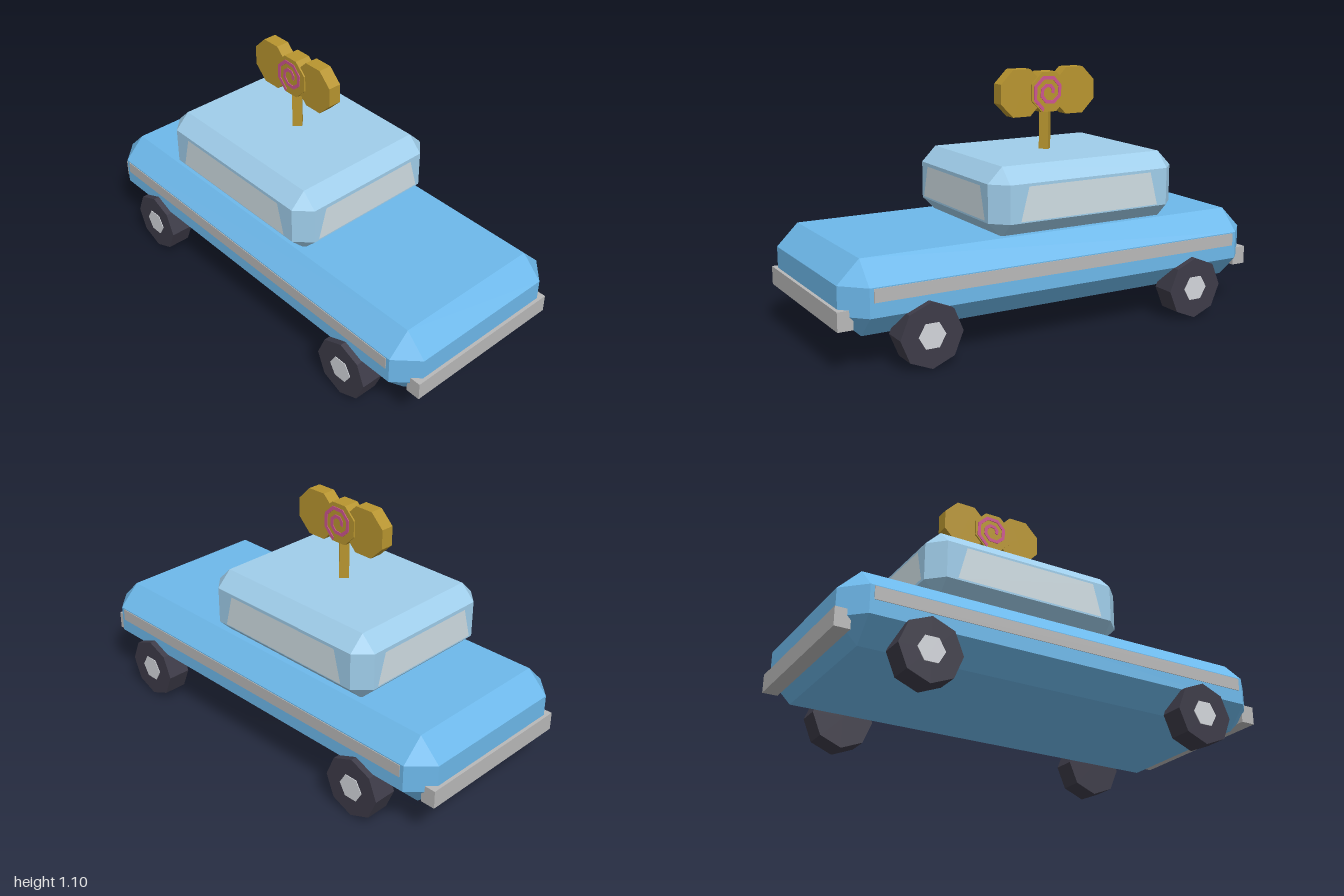
import * as THREE from 'three';
import { ConvexGeometry } from 'three/addons/geometries/ConvexGeometry.js';

const mat = (color) => new THREE.MeshStandardMaterial({ color, flatShading: true });

function add(parent, name, geometry, material, x = 0, y = 0, z = 0) {
  const mesh = new THREE.Mesh(geometry, material);
  mesh.name = name;
  mesh.position.set(x, y, z);
  parent.add(mesh);
  return mesh;
}

// Box with all edges and corners cut at 45 degrees, centred on the origin
function chamferedBox(w, h, d, c) {
  const points = [];
  for (const sx of [-1, 1]) for (const sy of [-1, 1]) for (const sz of [-1, 1]) {
    const x = w / 2, y = h / 2, z = d / 2;
    points.push(new THREE.Vector3(sx * x, sy * (y - c), sz * (z - c)));
    points.push(new THREE.Vector3(sx * (x - c), sy * y, sz * (z - c)));
    points.push(new THREE.Vector3(sx * (x - c), sy * (y - c), sz * z));
  }
  return new ConvexGeometry(points);
}

// Prism whose axis runs along x
const disc = (radius, width, sides, turn = 0) =>
  new THREE.CylinderGeometry(radius, radius, width, sides).rotateY(turn).rotateZ(Math.PI / 2);

// Trapezoid window pane facing +z
function pane(bottom, top, height) {
  return new THREE.ShapeGeometry(new THREE.Shape([
    new THREE.Vector2(-bottom, -height / 2), new THREE.Vector2(bottom, -height / 2),
    new THREE.Vector2(top, height / 2), new THREE.Vector2(-top, height / 2),
  ]));
}

// Flat spiral ribbon facing +z, winding inward clockwise
function spiral() {
  const outer = [], inner = [], steps = 14, half = 0.008;
  for (let i = 0; i <= steps; i++) {
    const t = i / steps;
    const a = THREE.MathUtils.degToRad(250 - 630 * t);
    const r = 0.083 - 0.065 * t;
    outer.push(new THREE.Vector2(Math.cos(a) * (r + half), Math.sin(a) * (r + half)));
    inner.unshift(new THREE.Vector2(Math.cos(a) * (r - half), Math.sin(a) * (r - half)));
  }
  return new THREE.ExtrudeGeometry(new THREE.Shape([...outer, ...inner]), { depth: 0.004, bevelEnabled: false });
}

export function createModel() {
  const car = new THREE.Group();
  car.name = 'windUpCar';
  const blue = mat(0x6db8ea), paleBlue = mat(0x9fcdea), glass = mat(0xcfdde3);
  const metal = mat(0xb8b8b8), rubber = mat(0x3d3b48), hubGrey = mat(0xd2d5da);
  const brass = mat(0xb8952f), pink = mat(0xcc5590);
  glass.side = THREE.DoubleSide;
  const cabinZ = -0.15;

  // Body and cabin
  add(car, 'body', chamferedBox(0.88, 0.31, 1.97, 0.095), blue, 0, 0.295, 0);
  add(car, 'cabin', chamferedBox(0.746, 0.297, 0.92, 0.067), paleBlue, 0, 0.5895, cabinZ);

  // Windows on all four sides of the cabin
  const endPane = pane(0.285, 0.245, 0.14), sidePane = pane(0.343, 0.305, 0.145);
  for (const s of [-1, 1]) {
    const end = add(car, s > 0 ? 'windscreen' : 'rearWindow', endPane, glass, 0, 0.587, cabinZ + s * 0.463);
    end.rotation.y = s > 0 ? 0 : Math.PI;
    const side = add(car, s > 0 ? 'leftWindow' : 'rightWindow', sidePane, glass, s * 0.376, 0.587, cabinZ);
    side.rotation.y = s * Math.PI / 2;
  }

  // Bumpers and side trim
  for (const s of [-1, 1]) {
    add(car, s > 0 ? 'frontBumper' : 'rearBumper', new THREE.BoxGeometry(0.76, 0.08, 0.066), metal, 0, 0.222, s * 0.967);
    add(car, s > 0 ? 'leftTrim' : 'rightTrim', new THREE.BoxGeometry(0.01, 0.055, 1.745), metal, s * 0.438, 0.323, 0);
  }

  // Wheels with hexagonal hubs
  for (const sx of [-1, 1]) for (const sz of [-1, 1]) {
    const wheel = new THREE.Group();
    wheel.name = (sz > 0 ? 'front' : 'rear') + (sx > 0 ? 'Left' : 'Right') + 'Wheel';
    wheel.position.set(sx * 0.414, 0.136, sz * 0.645);
    add(wheel, 'tyre', disc(0.136, 0.106, 8), rubber);
    add(wheel, 'hub', disc(0.059, 0.01, 6), hubGrey, sx * 0.051);
    car.add(wheel);
  }

  // Wind-up key on the roof
  const key = new THREE.Group();
  key.name = 'windUpKey';
  key.position.set(0, 0.993, cabinZ + 0.003);
  add(key, 'keyStem', new THREE.CylinderGeometry(0.03, 0.03, 0.23, 4), brass, 0, -0.155, 0);
  add(key, 'keyCentre', disc(0.095, 0.074, 8, Math.PI / 8), brass);
  for (const s of [-1, 1]) {
    add(key, s > 0 ? 'frontKeyWing' : 'rearKeyWing', disc(0.112, 0.06, 8, Math.PI / 8), brass, 0, 0, s * 0.135);
    const swirl = add(key, 'keySpiral', spiral(), pink, s * 0.036, 0, 0);
    swirl.rotation.y = s * Math.PI / 2;
  }
  car.add(key);

  return car;
}
